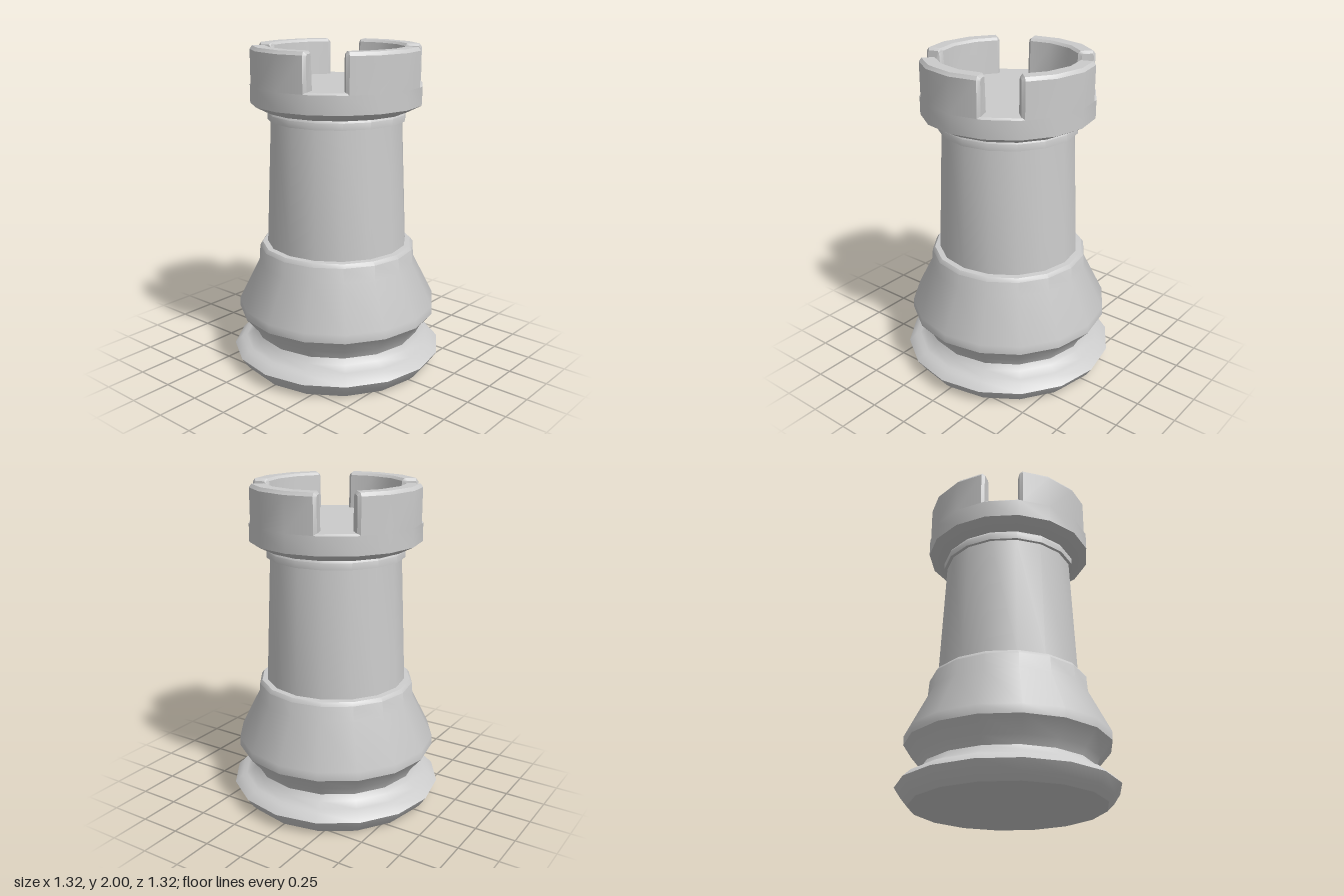
import * as THREE from 'three';
import { toCreasedNormals } from 'three/addons/utils/BufferGeometryUtils.js';

const SIDES = 16;
const CREASE = THREE.MathUtils.degToRad(35);
const material = new THREE.MeshStandardMaterial({ color: 0xcccccc });

// Turned part from a [radius, height] profile, listed bottom to top
function turned(name, profile) {
  const points = profile.map(([r, y]) => new THREE.Vector2(r, y));
  const geometry = toCreasedNormals(new THREE.LatheGeometry(points, SIDES), CREASE);
  const mesh = new THREE.Mesh(geometry, material);
  mesh.name = name;
  return mesh;
}

// Shrinks a radius where an angle falls between two corners of the polygon
function facetScale(deg) {
  const step = 360 / SIDES;
  const off = deg - (Math.floor(deg / step) + 0.5) * step;
  const rad = THREE.MathUtils.degToRad;
  return Math.cos(rad(step / 2)) / Math.cos(rad(off));
}

// Battlement block: a bevelled section swept round the rim, with chamfered ends
function merlonGeometry() {
  const full = [[0.52, 1.77], [0.52, 1.98], [0.505, 2], [0.43, 2], [0.415, 1.985], [0.402, 1.77]];
  const end = [[0.503, 1.77], [0.503, 1.972], [0.495, 1.985], [0.44, 1.985], [0.432, 1.972], [0.418, 1.77]];
  const angles = [-44, -42, -22.5, 0, 19, 21];
  const n = full.length;
  const last = angles.length - 1;
  const positions = [];
  const indices = [];

  angles.forEach((deg, i) => {
    const t = THREE.MathUtils.degToRad(deg);
    const k = facetScale(deg);
    for (const [r, y] of i === 0 || i === last ? end : full) {
      positions.push(r * k * Math.sin(t), y, r * k * Math.cos(t));
    }
  });
  for (let i = 0; i < last; i++) {
    for (let j = 0; j < n; j++) {
      const a = i * n + j;
      const d = i * n + (j + 1) % n;
      indices.push(a, a + n, d + n, a, d + n, d);
    }
  }
  // End caps
  for (let j = 1; j < n - 1; j++) {
    indices.push(0, j, j + 1);
    indices.push(last * n, last * n + j + 1, last * n + j);
  }

  const geometry = new THREE.BufferGeometry();
  geometry.setAttribute('position', new THREE.Float32BufferAttribute(positions, 3));
  geometry.setIndex(indices);
  return toCreasedNormals(geometry, CREASE);
}

export function createModel() {
  const model = new THREE.Group();
  model.name = 'rook';

  // Foot with its flared rim
  model.add(turned('foot', [
    [0, 0], [0.58, 0], [0.62, 0.04], [0.66, 0.1], [0.615, 0.143],
    [0.585, 0.15], [0.54, 0.18], [0.52, 0.215],
  ]));

  // Swelling lower body, closed by a narrow shoulder
  model.add(turned('lowerBody', [
    [0.52, 0.215], [0.545, 0.265], [0.62, 0.355], [0.62, 0.41], [0.49, 0.67],
    [0.483, 0.765], [0.467, 0.787], [0.434, 0.79],
  ]));

  // Tapering tower shaft
  model.add(turned('shaft', [[0.434, 0.79], [0.4, 1.56]]));

  // Thin ring under the head
  model.add(turned('collar', [[0.4, 1.56], [0.42, 1.56], [0.42, 1.6], [0.41, 1.615]]));

  // Head with the flat floor inside the battlements
  model.add(turned('head', [
    [0.41, 1.615], [0.43, 1.615], [0.52, 1.66], [0.52, 1.77], [0.508, 1.78], [0, 1.78],
  ]));

  // Four battlement blocks
  const battlements = new THREE.Group();
  battlements.name = 'battlements';
  const block = merlonGeometry();
  for (let i = 0; i < 4; i++) {
    const merlon = new THREE.Mesh(block, material);
    merlon.name = 'merlon';
    merlon.rotation.y = i * Math.PI / 2;
    battlements.add(merlon);
  }
  model.add(battlements);

  return model;
}
